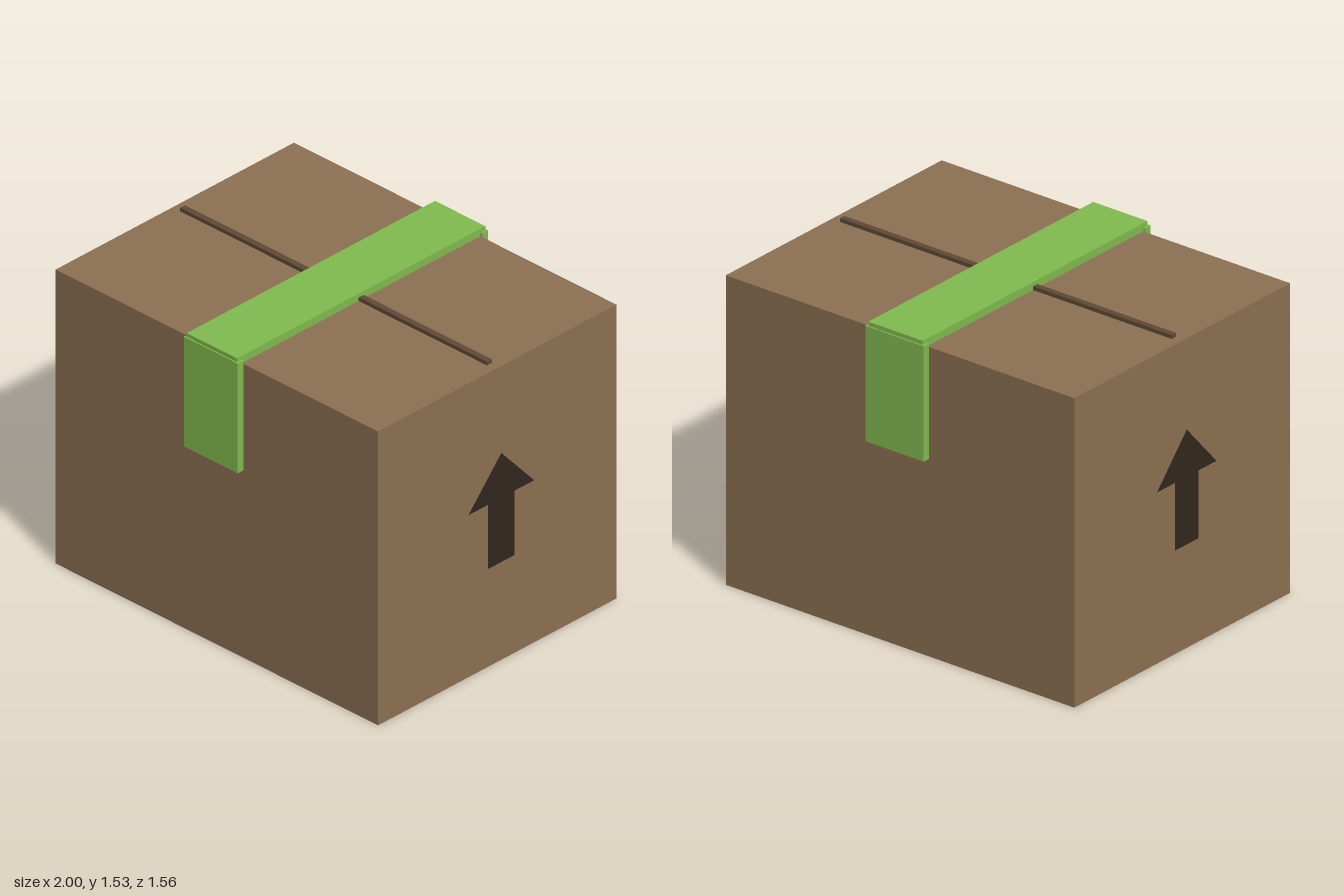
import * as THREE from 'three';

const mat = (color, side = THREE.FrontSide) =>
  new THREE.MeshStandardMaterial({ color, side, flatShading: true });

export function createModel() {
  const model = new THREE.Group();
  model.name = 'cardboardBox';

  const cardboard = mat(0x8d7152);
  const tape = mat(0x82bc4f);
  const seamDark = mat(0x5e4a35);
  const ink = mat(0x32281e, THREE.DoubleSide);

  // Box given by its half width, half depth and vertical range
  const block = (name, material, halfX, y0, y1, z0, z1) => {
    const mesh = new THREE.Mesh(new THREE.BoxGeometry(halfX * 2, y1 - y0, z1 - z0), material);
    mesh.name = name;
    mesh.position.set(0, (y0 + y1) / 2, (z0 + z1) / 2);
    model.add(mesh);
  };

  // Carton and the seam between its lid flaps
  block('carton', cardboard, 0.975, 0, 1.49, -0.742, 0.742);
  block('lidSeam', seamDark, 0.928, 1.49, 1.508, -0.015, 0.015);

  // Tape over the lid, folded down front and back
  block('topTape', tape, 0.152, 1.49, 1.528, -0.773, 0.773);
  block('frontTape', tape, 0.163, 0.952, 1.508, 0.743, 0.78);
  block('backTape', tape, 0.163, 0.952, 1.508, -0.78, -0.743);

  // Flat "this way up" arrow held just off each side
  const arrow = new THREE.ShapeGeometry(new THREE.Shape([
    [-0.082, 0.517], [0.082, 0.517], [0.082, 0.843], [0.205, 0.843],
    [0, 1.07], [-0.205, 0.843], [-0.082, 0.843],
  ].map(([x, y]) => new THREE.Vector2(x, y))));
  for (const [name, side] of [['leftArrow', 1], ['rightArrow', -1]]) {
    const mesh = new THREE.Mesh(arrow, ink);
    mesh.name = name;
    mesh.position.x = side;
    mesh.rotation.y = side * Math.PI / 2;
    model.add(mesh);
  }

  return model;
}
